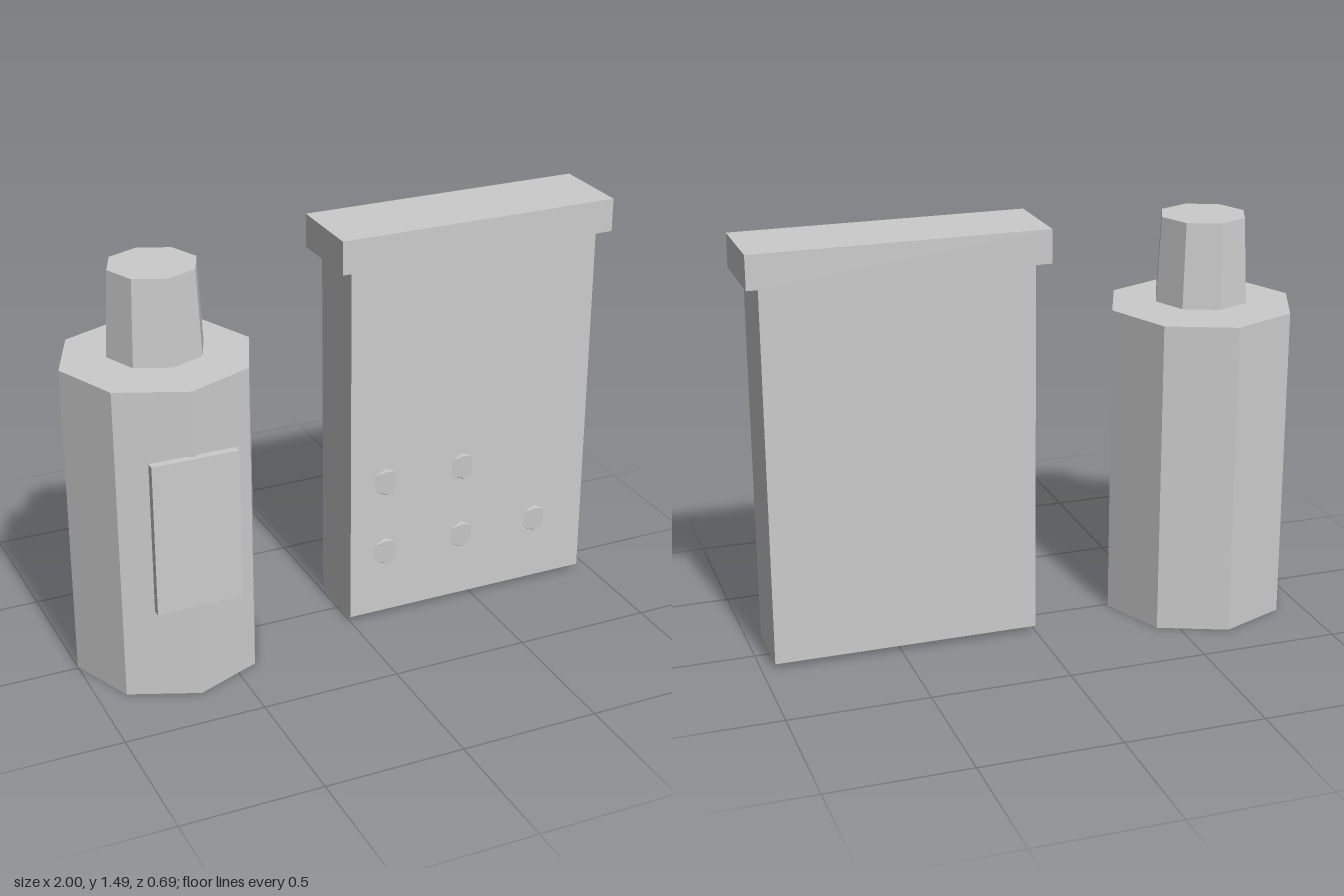
import * as THREE from 'three';
import { ConvexGeometry } from 'three/addons/geometries/ConvexGeometry.js';

export function createModel() {
  const model = new THREE.Group();
  const material = new THREE.MeshStandardMaterial({ color: 0xcccccc, flatShading: true });

  function add(name, geometry, x, y, z) {
    const mesh = new THREE.Mesh(geometry, material);
    mesh.name = name;
    mesh.position.set(x, y, z);
    model.add(mesh);
  }

  // Box given by its min and max corners
  function addBox(name, [x0, y0, z0], [x1, y1, z1]) {
    add(name, new THREE.BoxGeometry(x1 - x0, y1 - y0, z1 - z0),
      (x0 + x1) / 2, (y0 + y1) / 2, (z0 + z1) / 2);
  }

  // Octagonal bottle with a floating tapered cap and a front label
  add('bottleBody', new THREE.CylinderGeometry(0.337, 0.337, 1.14, 8), -0.663, 0.57, -0.008);
  add('bottleCap', new THREE.CylinderGeometry(0.156, 0.172, 0.305, 8), -0.663, 1.31, -0.008);
  addBox('bottleLabel', [-0.815, 0.357, 0.317], [-0.51, 0.907, 0.346]);

  // Flat carton with an overhanging lid
  addBox('cartonBody', [0, 0.02, -0.127], [0.953, 1.375, 0.115]);
  addBox('cartonLid', [-0.047, 1.373, -0.158], [0.998, 1.493, 0.147]);

  // Small faceted studs with a vertical front ridge
  const studPoints = [
    [0, 0.05, 0.019], [0, -0.042, 0.019],
    [0, 0.056, -0.01], [0, -0.056, -0.01],
    [0.042, 0.03, 0], [-0.042, 0.03, 0],
    [0.042, -0.032, 0], [-0.042, -0.032, 0],
  ].map((p) => new THREE.Vector3(...p));
  const studGeometry = new ConvexGeometry(studPoints);
  const rows = [[0.265, [0.137, 0.445, 0.752]], [0.545, [0.137, 0.445]]];
  for (const [y, columns] of rows) {
    for (const x of columns) add('stud', studGeometry, x, y, 0.115);
  }

  return model;
}
